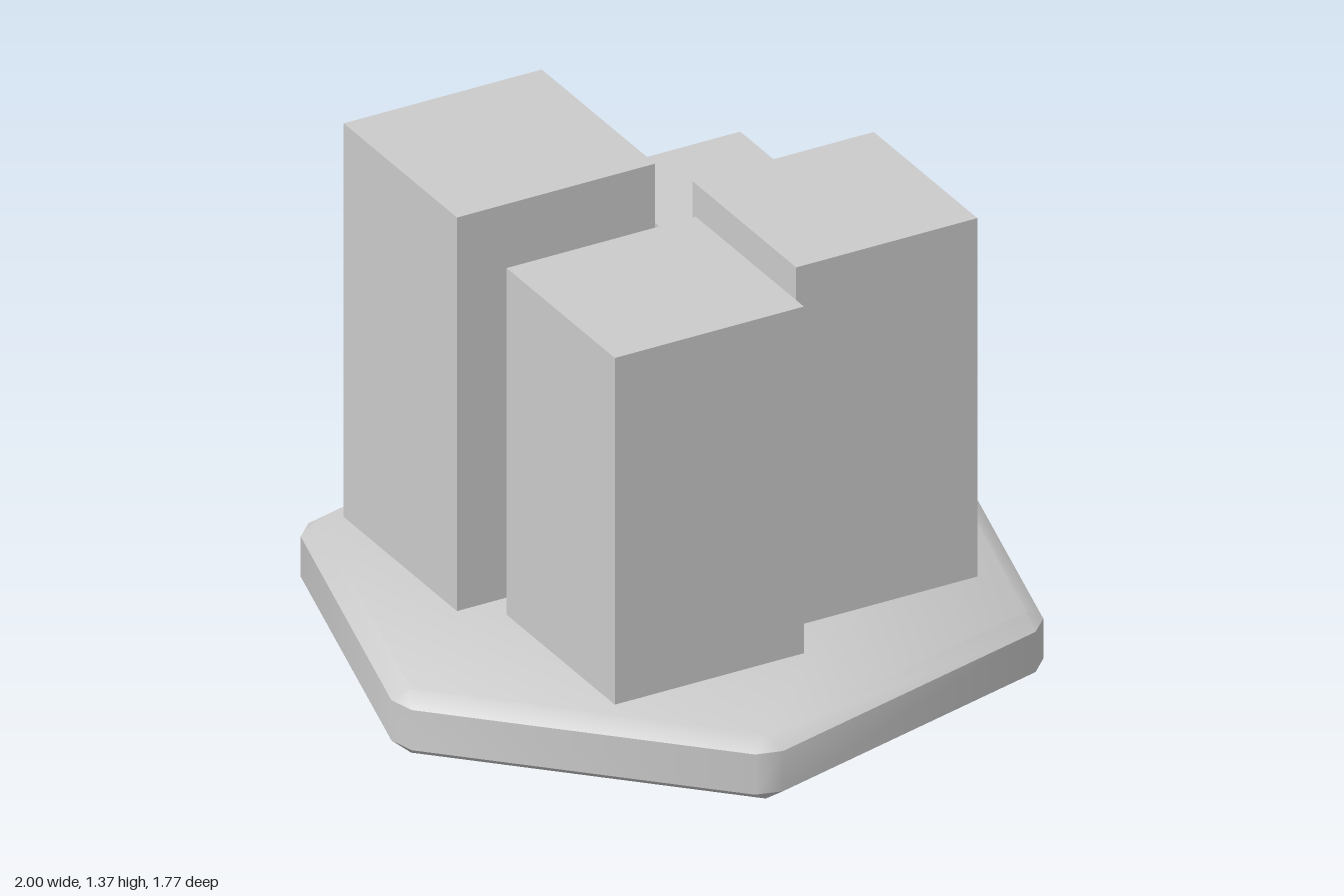
import * as THREE from 'three';
import { toCreasedNormals } from 'three/addons/utils/BufferGeometryUtils.js';
import { ConvexGeometry } from 'three/addons/geometries/ConvexGeometry.js';

const BASE_HEIGHT = 0.19;
const BEVEL = 0.035;

// Hexagonal slab with clipped corners and bevelled top and bottom edges
function createBase(material) {
  const outerRadius = 1.022, innerRadius = 0.965, clip = 0.044;
  const points = [];
  const corner = (i, r) => new THREE.Vector3(r * Math.cos(i * Math.PI / 3), 0, r * Math.sin(i * Math.PI / 3));
  for (let i = 0; i < 6; i++) {
    for (const y of [0, BASE_HEIGHT]) points.push(corner(i, innerRadius).setY(y));
    for (const y of [BEVEL, BASE_HEIGHT - BEVEL]) {
      for (const side of [-1, 1]) {
        const p = corner(i, outerRadius).lerp(corner(i + side, outerRadius), clip / outerRadius);
        points.push(p.setY(y));
      }
    }
  }
  const mesh = new THREE.Mesh(toCreasedNormals(new ConvexGeometry(points), 0.66), material);
  mesh.name = 'hexagonalBase';
  return mesh;
}

// Square tower standing on the base, up to the given top height
function createTower(name, x, z, width, top, material) {
  const bottom = BASE_HEIGHT - 0.02;
  const mesh = new THREE.Mesh(new THREE.BoxGeometry(width, top - bottom, width), material);
  mesh.position.set(x, (top + bottom) / 2, z);
  mesh.name = name;
  return mesh;
}

export function createModel() {
  const model = new THREE.Group();
  model.name = 'towersOnHexagonalBase';
  const material = new THREE.MeshStandardMaterial({ color: 0xcccccc });
  model.add(createBase(material));

  // Four towers, all turned by the same angle
  const towers = [
    ['backRightTower', -0.21, -0.432, 0.599, 1.365],
    ['backLeftTower', 0.404, -0.27, 0.444, 1.065],
    ['frontRightTower', -0.296, 0.236, 0.572, 1.225],
    ['frontLeftTower', 0.334, 0.271, 0.548, 1.26],
  ];
  for (const [name, x, z, width, top] of towers) {
    const tower = createTower(name, x, z, width, top, material);
    tower.rotation.y = -Math.PI / 12;
    model.add(tower);
  }
  return model;
}
